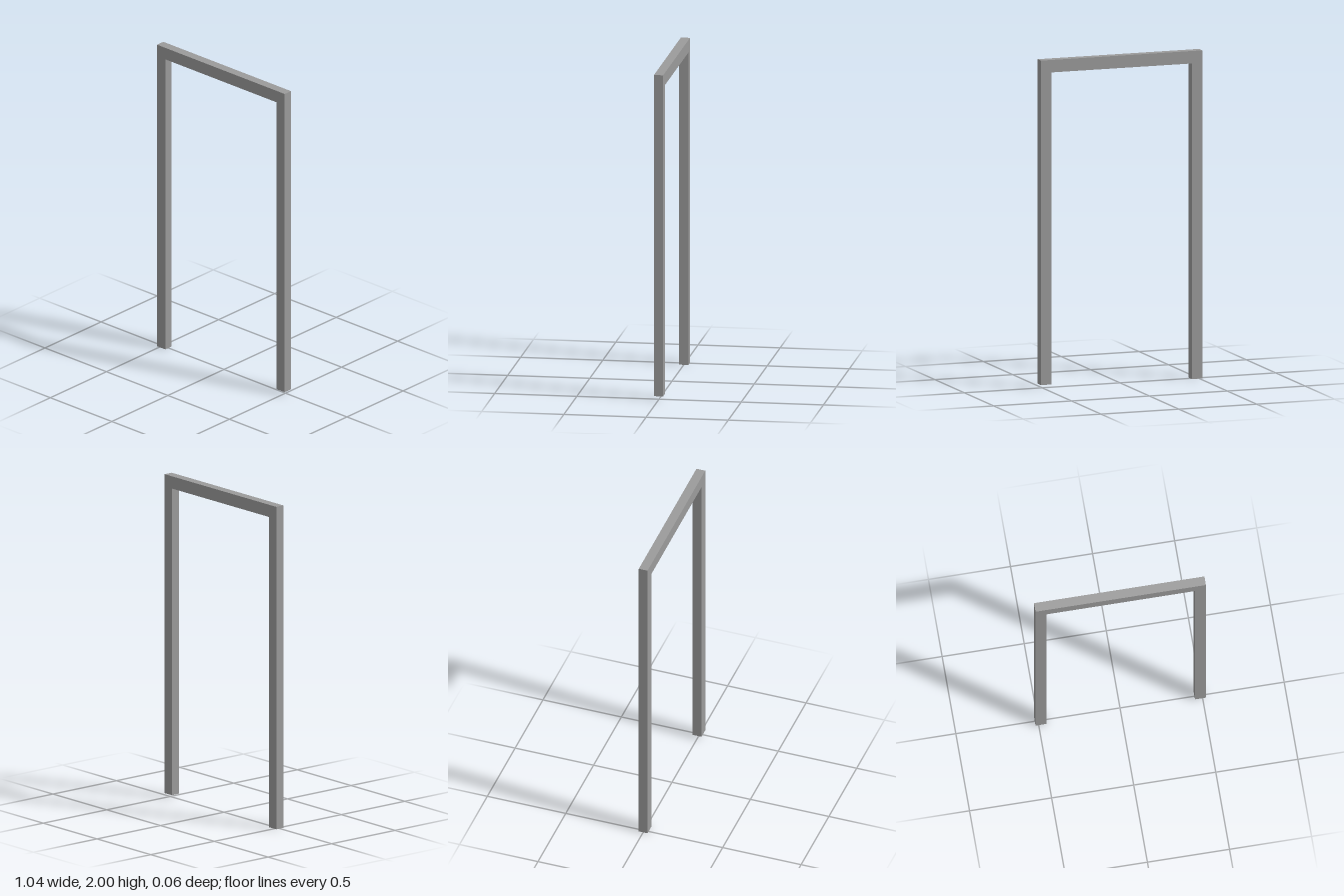
import * as THREE from 'three';

export function createModel() {
  const group = new THREE.Group();
  group.name = 'doorFrame';

  const half = 0.519;      // half of the overall width
  const inner = 0.452;     // half of the opening
  const lintel = 1.924;    // underside of the top bar
  const depth = 0.056;
  const leftFoot = 0.022;  // the left post stops a little short

  // One continuous outline: right post, top bar, left post
  const outline = new THREE.Shape([
    [-half, 0], [-inner, 0], [-inner, lintel], [inner, lintel],
    [inner, leftFoot], [half, leftFoot], [half, 2], [-half, 2],
  ].map(([x, y]) => new THREE.Vector2(x, y)));

  const geometry = new THREE.ExtrudeGeometry(outline, { depth, bevelEnabled: false });
  geometry.translate(0, 0, -depth / 2);

  const frame = new THREE.Mesh(geometry, new THREE.MeshStandardMaterial({ color: 0x9b9b9b }));
  frame.name = 'postsAndLintel';
  group.add(frame);
  return group;
}
